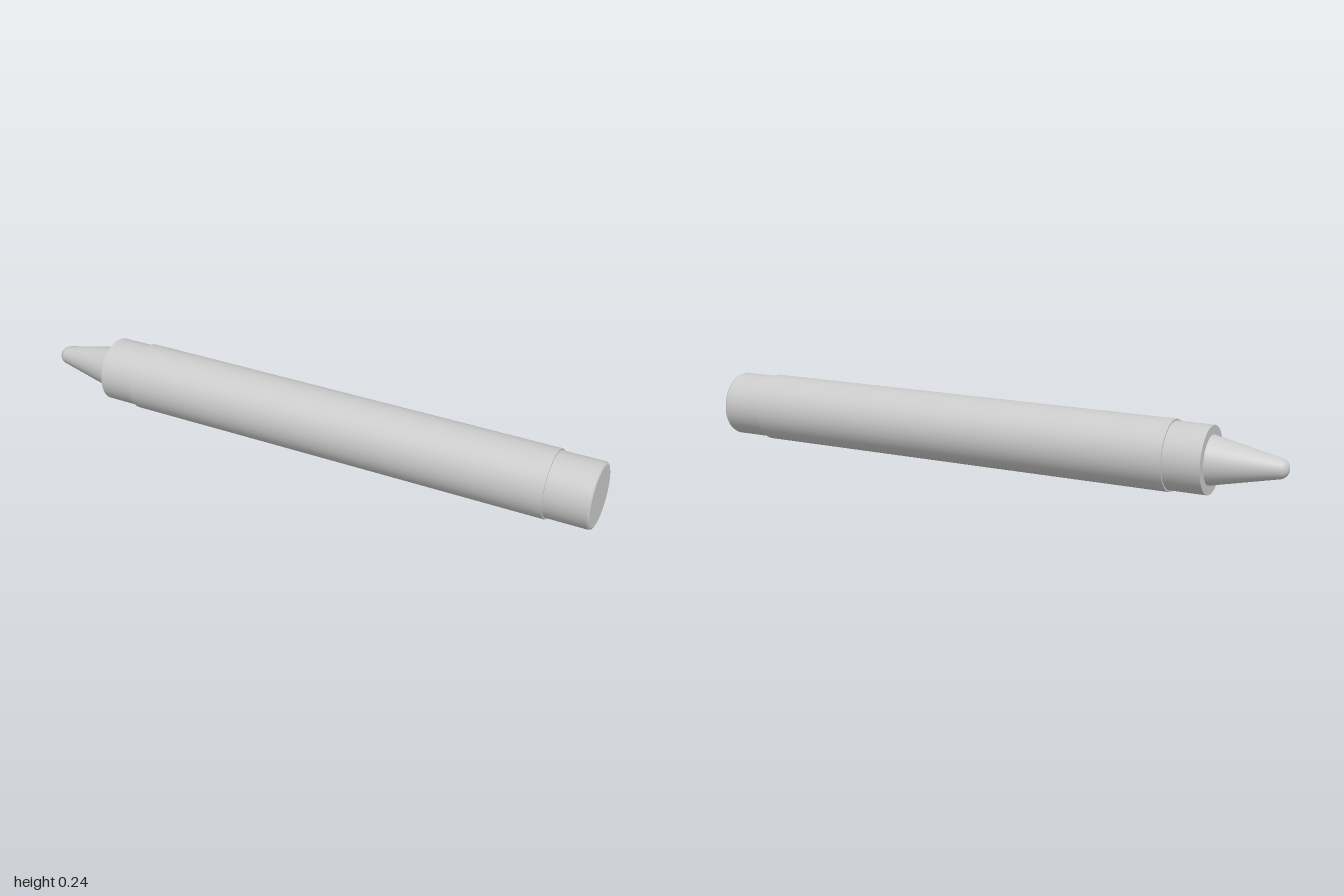
import * as THREE from 'three';

const SIDES = 32;
const material = new THREE.MeshStandardMaterial({ color: 0xcccccc });

// Surface of revolution from [radius, height] pairs, listed bottom to top.
function turned(name, profile) {
  const points = profile.map(([r, h]) => new THREE.Vector2(r, h));
  const mesh = new THREE.Mesh(new THREE.LatheGeometry(points, SIDES), material);
  mesh.name = name;
  return mesh;
}

export function createModel() {
  const crayon = new THREE.Group();
  crayon.name = 'crayon';

  const bodyR = 0.116, wrapR = 0.122, length = 1.883;
  const wrapStart = 0.157, wrapEnd = length - 0.13;
  const coneR = 0.084, tipR = 0.035, tipCentre = length + 0.223, bevel = 0.009;

  // Wax stick with a softened butt edge
  crayon.add(turned('buttFace', [[0, 0], [bodyR - bevel, 0]]));
  crayon.add(turned('waxBody', [
    [bodyR - bevel, 0], [bodyR - bevel * 0.3, bevel * 0.3], [bodyR, bevel], [bodyR, length],
  ]));
  crayon.add(turned('shoulder', [[bodyR, length], [coneR - 0.004, length]]));

  // Paper wrapper: slightly thicker sleeve with flat end rings
  crayon.add(turned('wrapper', [[wrapR, wrapStart], [wrapR, wrapEnd]]));
  crayon.add(turned('wrapperLowerEdge', [[bodyR, wrapStart], [wrapR, wrapStart]]));
  crayon.add(turned('wrapperUpperEdge', [[wrapR, wrapEnd], [bodyR, wrapEnd]]));

  // Tapered point ending in a rounded nose
  const point = [[coneR, length]];
  const start = 0.22;
  for (let i = 0; i <= 8; i++) {
    const a = start + (Math.PI / 2 - start) * (i / 8);
    point.push([i === 8 ? 0 : tipR * Math.cos(a), tipCentre + tipR * Math.sin(a)]);
  }
  crayon.add(turned('point', point));

  // Lay the crayon down diagonally, resting on its wrapper
  const direction = new THREE.Vector3(-0.908, 0, -0.418).normalize();
  crayon.quaternion.setFromUnitVectors(new THREE.Vector3(0, 1, 0), direction);
  crayon.position.set(0.948, wrapR, 0.403);

  const model = new THREE.Group();
  model.name = 'crayonModel';
  model.add(crayon);
  return model;
}
